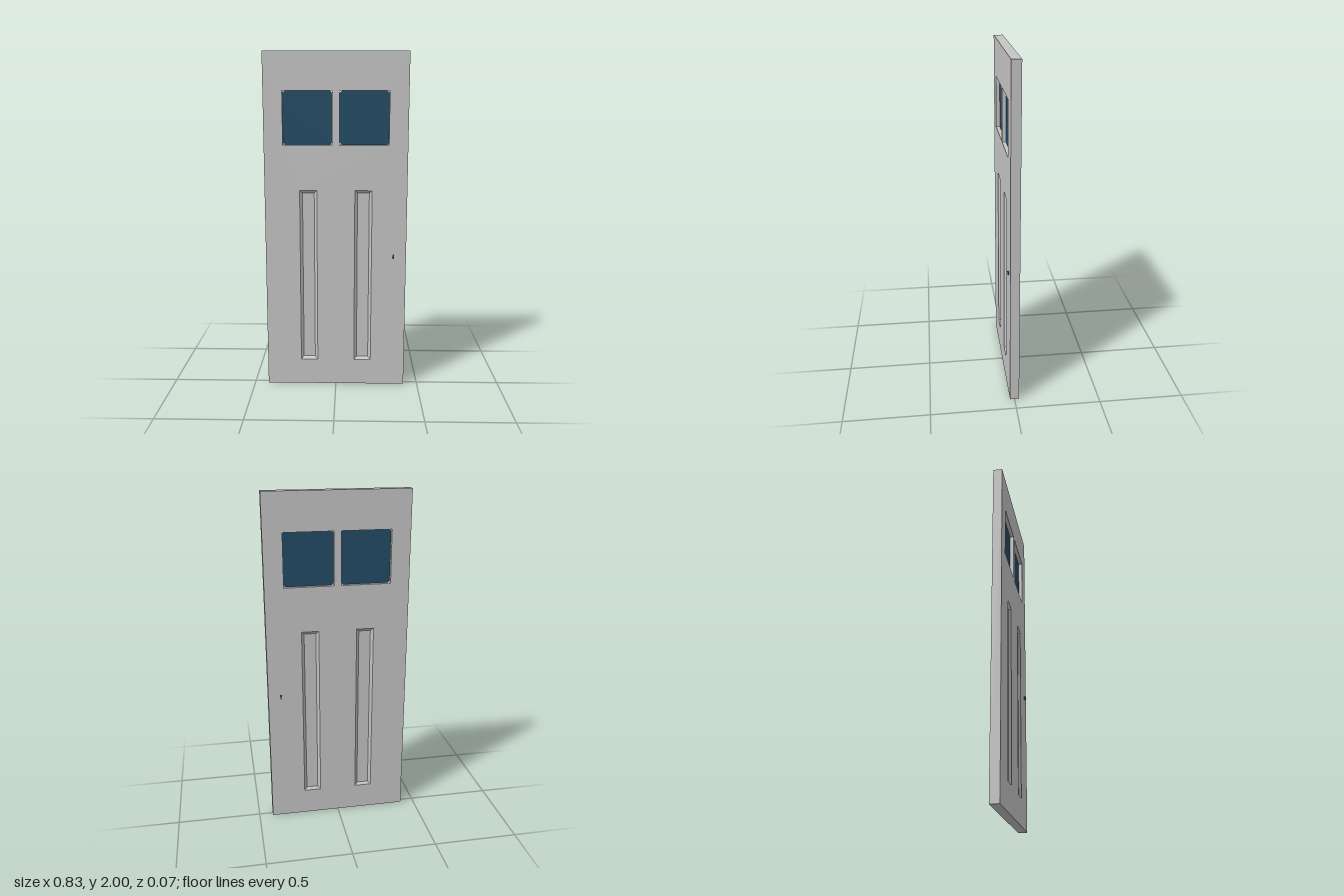
import * as THREE from 'three';

const HALF_W = 0.417, HEIGHT = 2, HALF_D = 0.027;

// Counter-clockwise rectangle with optional cut corners
function rect(x0, y0, x1, y1, c = 0) {
  const pts = c
    ? [[x0 + c, y0], [x1 - c, y0], [x1, y0 + c], [x1, y1 - c], [x1 - c, y1], [x0 + c, y1], [x0, y1 - c], [x0, y0 + c]]
    : [[x0, y0], [x1, y0], [x1, y1], [x0, y1]];
  return pts.map(([x, y]) => new THREE.Vector2(x, y));
}

function extrude(shape, depth, z) {
  const g = new THREE.ExtrudeGeometry(shape, { depth, bevelEnabled: false, curveSegments: 10 });
  return g.translate(0, 0, z);
}

// Recessed panel: four sloped sides leading down to a flat floor
function recessGeometry(w, h, bevel, depth) {
  const pos = [], index = [];
  for (const [inset, z] of [[0, 0], [bevel, -depth]]) {
    for (const p of rect(-w / 2 + inset, -h / 2 + inset, w / 2 - inset, h / 2 - inset)) pos.push(p.x, p.y, z);
  }
  for (let i = 0; i < 4; i++) {
    const j = (i + 1) % 4;
    index.push(i, j, j + 4, i, j + 4, i + 4);
  }
  index.push(4, 5, 6, 4, 6, 7);
  const g = new THREE.BufferGeometry();
  g.setAttribute('position', new THREE.Float32BufferAttribute(pos, 3));
  g.setIndex(index);
  const flat = g.toNonIndexed();
  flat.computeVertexNormals();
  return flat;
}

export function createModel() {
  const door = new THREE.Group();
  door.name = 'door';
  const paint = new THREE.MeshStandardMaterial({ color: 0xc6c6c6 });
  paint.name = 'grey paint';
  const blue = new THREE.MeshStandardMaterial({ color: 0x234c66 });
  blue.name = 'dark blue glass';

  const add = (parent, name, geometry, material) => {
    const mesh = new THREE.Mesh(geometry, material);
    mesh.name = name;
    parent.add(mesh);
    return mesh;
  };

  const win = { x0: 0.021, x1: 0.307, y0: 1.472, y1: 1.78 };
  const panel = { x0: 0.111, x1: 0.212, y0: 0.158, y1: 1.208 };

  // Slab with openings for the windows and panels
  const slab = new THREE.Shape(rect(-HALF_W, 0, HALF_W, HEIGHT));
  for (const o of [win, panel]) {
    slab.holes.push(new THREE.Path(rect(o.x0, o.y0, o.x1, o.y1)));
    slab.holes.push(new THREE.Path(rect(-o.x1, o.y0, -o.x0, o.y1)));
  }
  add(door, 'slab', extrude(slab, 2 * HALF_D, -HALF_D), paint);

  // Window panes with clipped corners, set midway in the slab
  const pane = extrude(new THREE.Shape(rect(win.x0, win.y0, win.x1, win.y1, 0.014)), 0.009, -0.0045);
  add(door, 'leftWindow', pane, blue);
  add(door, 'rightWindow', pane, blue).position.x = -(win.x0 + win.x1);

  // Keyhole outline: round head over a flared tail
  const keyhole = new THREE.Shape();
  keyhole.absarc(0, 0.819, 0.0055, -Math.PI * 0.3, Math.PI * 1.3, false);
  keyhole.lineTo(-0.0035, 0.8);
  keyhole.lineTo(0.0035, 0.8);
  const keyholeGeometry = extrude(keyhole, 0.008, HALF_D);

  // Both faces carry the same panels and keyhole
  const recess = recessGeometry(panel.x1 - panel.x0, panel.y1 - panel.y0, 0.016, 0.012);
  for (const [name, side] of [['frontFace', 1], ['backFace', -1]]) {
    const face = new THREE.Group();
    face.name = name;
    if (side < 0) face.rotation.y = Math.PI;
    for (const s of [-1, 1]) {
      const mesh = add(face, s > 0 ? 'leftPanel' : 'rightPanel', recess, paint);
      mesh.position.set(s * (panel.x0 + panel.x1) / 2, (panel.y0 + panel.y1) / 2, HALF_D);
    }
    add(face, 'keyhole', keyholeGeometry, blue).position.x = side * 0.342;
    door.add(face);
  }
  return door;
}
